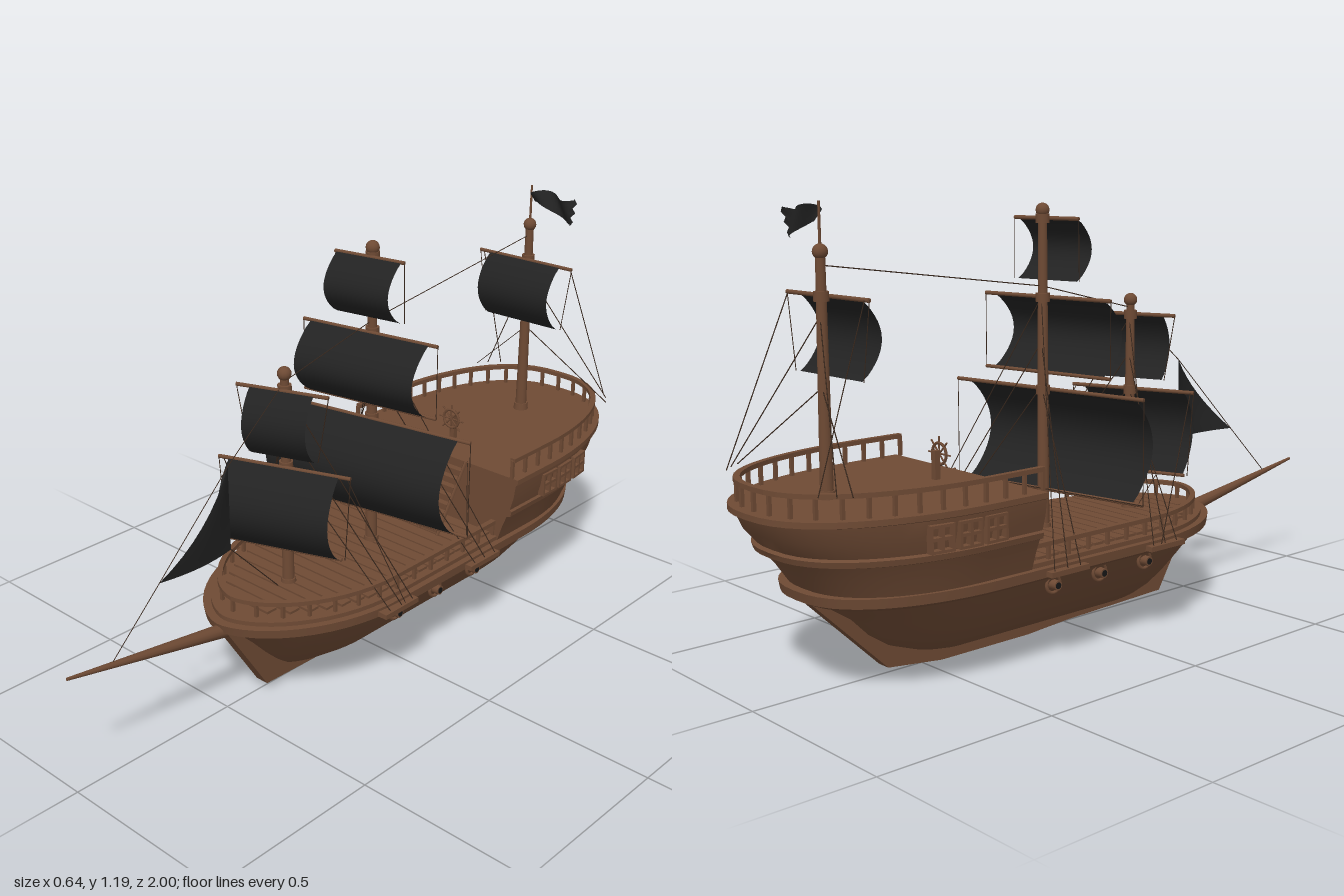
import * as THREE from 'three';
import { toCreasedNormals } from 'three/addons/utils/BufferGeometryUtils.js';

const mat = (name, color, side = THREE.FrontSide) => {
  const m = new THREE.MeshStandardMaterial({ color, side });
  m.name = name;
  return m;
};

export function createModel() {
  const wood = mat('brown wood', 0x6e4a34);
  const rope = mat('dark rope', 0x3a291e);
  const cloth = mat('black cloth', 0x222222, THREE.DoubleSide);
  const bore = mat('black iron', 0x161616);
  const ship = new THREE.Group();
  ship.name = 'sailingShip';

  const group = (name) => {
    const g = new THREE.Group();
    g.name = name;
    ship.add(g);
    return g;
  };
  const add = (name, geo, m = wood, parent = ship, x = 0, y = 0, z = 0) => {
    const mesh = new THREE.Mesh(geo, m);
    mesh.name = name;
    mesh.position.set(x, y, z);
    parent.add(mesh);
    return mesh;
  };
  const box = (name, w, h, d, x, y, z, parent = ship) => add(name, new THREE.BoxGeometry(w, h, d), wood, parent, x, y, z);
  const bar = (name, a, b, ra, rb = ra, m = wood, parent = ship, sides = 10) => {
    const A = new THREE.Vector3(...a), B = new THREE.Vector3(...b), dir = B.clone().sub(A);
    const mesh = add(name, new THREE.CylinderGeometry(rb, ra, dir.length(), sides), m, parent);
    mesh.position.copy(A).add(B).multiplyScalar(0.5);
    mesh.quaternion.setFromUnitVectors(new THREE.Vector3(0, 1, 0), dir.normalize());
    return mesh;
  };

  // Deck outlines: half width w, bow curve z0..zf, stern curve z1..zb
  const N = 28;
  const bowPts = (p) => Array.from({ length: N + 1 }, (_, i) => {
    const t = Math.PI * i / N, c = Math.cos(t);
    return [p.w * Math.sign(c) * Math.abs(c) ** 1.2, p.z0 + (p.zf - p.z0) * Math.sin(t)];
  });
  const sternPts = (p) => Array.from({ length: N + 1 }, (_, i) => {
    const t = Math.PI * i / N, c = Math.cos(t);
    return [-p.w * Math.sign(c) * Math.abs(c) ** 0.8, p.z1 + (p.zb - p.z1) * Math.sin(t)];
  });
  const loft = (levels) => {
    const rings = levels.map((p) => [...bowPts(p), ...sternPts(p)].map(([x, z]) => [x, p.y, z]));
    const v = [], n = rings[0].length;
    for (let k = 0; k < rings.length - 1; k++) {
      for (let i = 0; i < n; i++) {
        const j = (i + 1) % n, a = rings[k], b = rings[k + 1];
        v.push(...a[i], ...b[i], ...a[j], ...b[i], ...b[j], ...a[j]);
      }
    }
    const cap = (ring, p, up) => {
      const c = [0, p.y, (p.z0 + p.z1) / 2];
      ring.forEach((q, i) => {
        const r = ring[(i + 1) % n];
        v.push(...c, ...(up ? r : q), ...(up ? q : r));
      });
    };
    cap(rings[0], levels[0], false);
    cap(rings.at(-1), levels.at(-1), true);
    const g = new THREE.BufferGeometry();
    g.setAttribute('position', new THREE.Float32BufferAttribute(v, 3));
    return toCreasedNormals(g, 0.6);
  };

  // Hull body, keel and gunwale
  const ends = [[0.03, 0.25, -0.45], [0.05, 0.3, -0.54], [0.08, 0.335, -0.62], [0.12, 0.375, -0.68],
    [0.17, 0.42, -0.73], [0.21, 0.46, -0.79], [0.25, 0.5, -0.86]];
  add('hull', loft(ends.map(([y, zf, zb]) => ({
    y, zf, zb, w: Math.max(0.03, 0.25 * Math.sqrt((y - 0.03) / 0.22)), z0: 0.1, z1: -0.4,
  }))));
  const keelShape = new THREE.Shape([[0.52, 0.26], [0.37, 0.02], [0, 0.01], [-0.15, 0], [-0.45, 0],
    [-0.62, 0.02], [-0.86, 0.25]].map((p) => new THREE.Vector2(...p)));
  add('keel', new THREE.ExtrudeGeometry(keelShape, { depth: 0.04, bevelEnabled: false })
    .translate(0, 0, -0.02).rotateY(-Math.PI / 2));
  const slab = (y, w, zf, zb) => ({ y, w, zf, zb, z0: 0.1, z1: -0.45 });
  add('gunwale', loft([slab(0.235, 0.25, 0.5, -0.85), slab(0.245, 0.266, 0.52, -0.87), slab(0.27, 0.268, 0.525, -0.875)]));
  add('deckEdge', loft([slab(0.27, 0.25, 0.5, -0.85), slab(0.282, 0.25, 0.5, -0.85)]));

  // Deck planks trimmed to the bow curve
  const planks = group('deckPlanks');
  for (let z = -0.32; z < 0.44; z += 0.04) {
    const u = Math.max(0, (z + 0.018 - 0.1) / 0.35);
    const w = 0.225 * Math.max(0, 1 - u * u) ** 0.6;
    if (w > 0.02) box('plank', 2 * w, 0.008, 0.034, 0, 0.285, z, planks);
  }

  // Raised stern
  const aft = (y, w, zb) => ({ y, w, zb, zf: -0.34, z0: -0.34, z1: -0.5 });
  add('sternCastle', loft([aft(0.27, 0.252, -0.85), aft(0.32, 0.268, -0.885), aft(0.355, 0.282, -0.915),
    aft(0.36, 0.295, -0.935), aft(0.375, 0.298, -0.94), aft(0.38, 0.292, -0.93), aft(0.42, 0.303, -0.965),
    aft(0.462, 0.309, -0.985), aft(0.465, 0.315, -1), aft(0.48, 0.315, -1)]));

  // Rails with posts
  const rail = (name, path, y, post) => {
    const g = group(name), inner = path(0.012);
    const shape = new THREE.Shape([...path(-0.004), ...inner.slice().reverse()].map((p) => new THREE.Vector2(...p)));
    add('handrail', new THREE.ExtrudeGeometry(shape, { depth: 0.012, bevelEnabled: false }).rotateX(Math.PI / 2), wood, g, 0, y, 0);
    const curve = new THREE.CatmullRomCurve3(path(0.004).map(([x, z]) => new THREE.Vector3(x, y, z)));
    curve.getSpacedPoints(26).forEach((p) => box('post', 0.009, post, 0.009, p.x, y - 0.006 - post / 2, p.z, g));
  };
  rail('deckRail', (d) => {
    const p = { w: 0.24 - d, z0: 0.1, zf: 0.47 - d };
    return [[p.w, -0.34], ...bowPts(p), [-p.w, -0.34]];
  }, 0.33, 0.045);
  rail('sternRail', (d) => {
    const p = { w: 0.298 - d, z1: -0.5, zb: -0.98 + d };
    return [[-p.w, -0.34], ...sternPts(p), [p.w, -0.34]];
  }, 0.542, 0.055);

  // Side windows, gun ports and rigging ledges
  const win = new THREE.Shape([[-0.033, -0.034], [0.033, -0.034], [0.033, 0.034], [-0.033, 0.034]].map((p) => new THREE.Vector2(...p)));
  for (const sx of [-1, 1]) for (const sy of [-1, 1]) {
    const h = [[0.004, 0.004], [0.004, 0.027], [0.026, 0.027], [0.026, 0.004]];
    win.holes.push(new THREE.Path(h.map(([x, y]) => new THREE.Vector2(x * sx, y * sy))));
  }
  const winGeo = new THREE.ExtrudeGeometry(win, { depth: 0.02, bevelEnabled: false }).translate(0, 0, -0.01);
  for (const s of [-1, 1]) {
    [[-0.503, 0.305, 0], [-0.58, 0.303, 0.06], [-0.66, 0.296, 0.13]].forEach(([z, x, a]) => {
      add('sideWindow', winGeo, wood, ship, s * x, 0.418, z).rotation.y = s * (Math.PI / 2 + a);
    });
    for (const z of [0.085, -0.085, -0.25]) {
      add('gunPort', new THREE.TorusGeometry(0.023, 0.005, 6, 16).rotateY(Math.PI / 2), wood, ship, s * 0.232, 0.21, z);
      bar('cannon', [s * 0.15, 0.21, z], [s * 0.252, 0.21, z], 0.017, 0.013, wood, ship, 14);
      bar('cannonBore', [s * 0.25, 0.21, z], [s * 0.253, 0.21, z], 0.009, 0.009, bore, ship, 12);
    }
    for (const z of [-0.24, 0.12]) box('riggingLedge', 0.035, 0.014, 0.13, s * 0.272, 0.255, z);
  }

  // Stairs to the stern deck
  const stairs = group('stairs');
  for (let i = 0; i < 8; i++) box('step', 0.066, 0.008, 0.02, 0.093, 0.3 + i * 0.022, -0.225 - i * 0.0145, stairs);
  for (const x of [0.058, 0.128]) bar('stringer', [x, 0.285, -0.215], [x, 0.48, -0.34], 0.006, 0.006, wood, stairs, 4);

  // Steering wheel
  const wheel = group('steeringWheel');
  wheel.position.set(-0.01, 0.545, -0.44);
  add('rim', new THREE.TorusGeometry(0.028, 0.004, 6, 20), wood, wheel);
  for (let i = 0; i < 4; i++) {
    const c = Math.cos(i * Math.PI / 4) * 0.045, s = Math.sin(i * Math.PI / 4) * 0.045;
    bar('spoke', [-c, -s, 0], [c, s, 0], 0.0025, 0.0025, wood, wheel, 5);
  }
  box('stand', 0.016, 0.08, 0.016, 0, -0.03, -0.012, wheel);

  // Masts: [name, z, foot, top, yaw, sails [top, bottom, sail half width, yard half width, bulge, lower yard]]
  const masts = [
    ['foreMast', 0.26, 0.27, 0.88, 0.35, [[0.85, 0.665, 0.09, 0.13, 0.055, 0], [0.635, 0.395, 0.158, 0.19, 0.075, 0.165]]],
    ['mainMast', -0.075, 0.27, 1.14, 0.17, [[1.13, 0.965, 0.1, 0.108, 0.065, 0],
      [0.92, 0.715, 0.187, 0.213, 0.085, 0.213], [0.67, 0.39, 0.283, 0.32, 0.095, 0.32]]],
    ['mizzenMast', -0.775, 0.47, 1.06, 0.03, [[0.967, 0.775, 0.125, 0.165, 0.06, 0]]],
  ];
  for (const [name, z, foot, top, yaw, sails] of masts) {
    const g = group(name);
    g.position.z = z;
    g.rotation.y = yaw;
    bar('mast', [0, foot, 0], [0, top, 0], 0.017, 0.012, wood, g, 14);
    add('mastBall', new THREE.SphereGeometry(0.019, 14, 10), wood, g, 0, top + 0.012, 0);
    bar('mastFoot', [0, foot, 0], [0, foot + 0.03, 0], 0.024, 0.02, wood, g, 14);
    for (const [t, b, hw, yard, bulge, low] of sails) {
      bar('yard', [-yard, t, 0.016], [yard, t, 0.016], 0.0055, 0.0055, wood, g, 8);
      bar('mastBand', [0, t - 0.012, 0], [0, t + 0.012, 0], 0.019, 0.019, wood, g, 14);
      if (low) bar('lowerYard', [-low, b, 0.016], [low, b, 0.016], 0.005, 0.005, wood, g, 8);
      const geo = new THREE.PlaneGeometry(2 * hw, t - b, 6, 14), p = geo.attributes.position;
      for (let i = 0; i < p.count; i++) {
        const v = p.getY(i) / (t - b) + 0.5;
        p.setZ(i, 0.02 + bulge * Math.max(0, Math.sin(Math.PI * v)) ** 0.8);
      }
      geo.computeVertexNormals();
      add('sail', geo, cloth, g, 0, (t + b) / 2, 0);
      // Lines from the yard ends to the sail foot
      for (const s of [-1, 1]) bar('sailLine', [s * yard, t, 0.016], [s * Math.max(low, hw * 1.1), b, 0.016], 0.0013, 0.0013, rope, g, 4);
    }
  }

  // Flag on the aft mast
  bar('flagPole', [0, 1.06, -0.775], [0, 1.19, -0.775], 0.004, 0.003);
  const flagGeo = new THREE.PlaneGeometry(1, 1, 16, 6), fp = flagGeo.attributes.position;
  for (let i = 0; i < fp.count; i++) {
    const u = fp.getX(i) + 0.5, v = fp.getY(i);
    const ragged = u > 0.99 ? 0.016 * Math.abs(Math.sin(v * 9)) : 0;
    fp.setXYZ(i, 0.004 + 0.158 * u - ragged, 1.155 - 0.025 * u * u + v * (0.03 + 0.045 * u) + 0.008 * Math.sin(u * 7), 0.014 * Math.sin(u * 9 + v * 2));
  }
  flagGeo.computeVertexNormals();
  add('flag', flagGeo, cloth, ship, 0, 0, -0.775);

  // Bowsprit and triangular headsail
  bar('bowsprit', [0, 0.232, 0.46], [0, 0.328, 1], 0.021, 0.004, wood, ship, 12);
  const jib = new THREE.BufferGeometry(), jv = [], K = 8;
  const jibPt = (i, j) => {
    const a = i / K, b = j / K;
    return [0.12 * a * b * (1 - a) + 0.06 * b * (1 - b) * a, 0.465 + 0.235 * (1 - a), 0.465 + 0.24 * a * b];
  };
  for (let i = 0; i < K; i++) for (let j = 0; j < K; j++) {
    const [a, b, c, d] = [jibPt(i, j), jibPt(i + 1, j), jibPt(i + 1, j + 1), jibPt(i, j + 1)];
    jv.push(...a, ...b, ...c);
    if (i) jv.push(...a, ...c, ...d);
  }
  jib.setAttribute('position', new THREE.Float32BufferAttribute(jv, 3));
  add('headsail', toCreasedNormals(jib, 1), cloth);

  // Stays and shrouds
  const rig = group('rigging');
  const line = (a, b) => bar('line', a, b, 0.0014, 0.0014, rope, rig, 4);
  line([0, 0.31, 0.865], [0, 0.465, 0.705]);
  line([0, 0.465, 0.705], [0, 0.7, 0.465]);
  line([0, 0.7, 0.465], [0, 0.87, 0.26]);
  line([0, 0.465, 0.465], [0, 0.29, 0.3]);
  line([0, 0.87, 0.26], [0, 0.95, -0.075]);
  line([0, 0.95, -0.075], [0, 1.04, -0.775]);
  for (const s of [-1, 1]) {
    for (let i = 0; i < 3; i++) {
      line([0, 0.84 - 0.1 * i, 0.255], [s * 0.282, 0.262, 0.07 + 0.045 * i]);
      line([0, 0.92 - 0.12 * i, -0.08], [s * 0.282, 0.262, -0.29 + 0.045 * i]);
    }
    line([0, 0.92, -0.78], [s * 0.23, 0.54, -0.9]);
    line([0, 0.75, -0.78], [s * 0.25, 0.54, -0.87]);
    line([s * 0.16, 0.967, -0.765], [s * 0.2, 0.54, -0.93]);
    line([s * 0.315, 0.39, -0.06 - s * 0.054], [s * 0.13, 0.48, -0.345]);
    line([s * 0.17, 0.635, 0.27 - s * 0.06], [s * 0.282, 0.262, 0.1]);
  }
  return ship;
}
